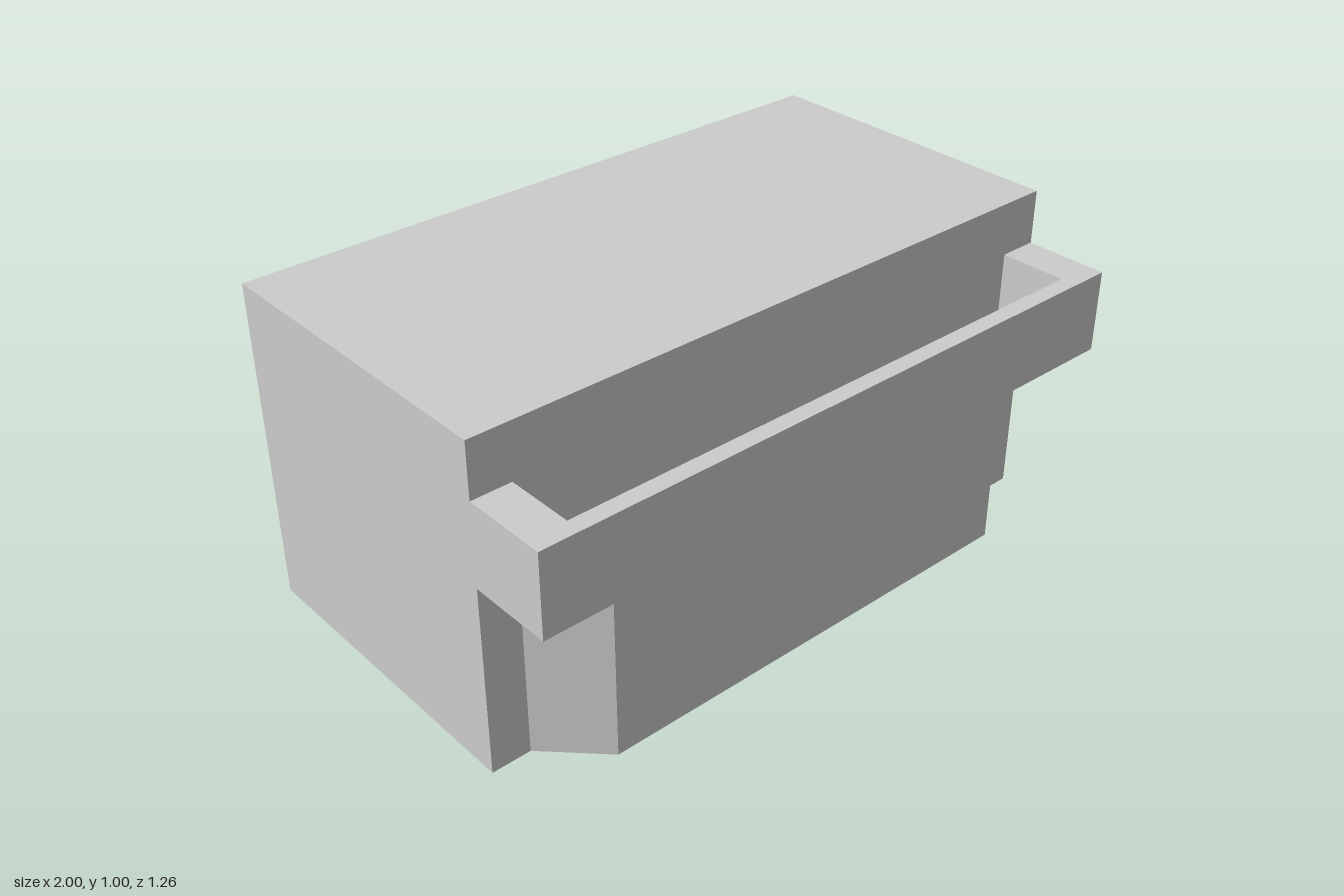
import * as THREE from 'three';

const BACK = -0.628, WALL = 0.372, FRONT = 0.628;

export function createModel() {
  const model = new THREE.Group();
  model.name = 'buildingWithBalcony';
  const material = new THREE.MeshStandardMaterial({ color: 0xcccccc, flatShading: true });

  // Raises a plan outline of [x, z] points from height y0 to y1
  function addPlan(name, points, y0, y1) {
    const shape = new THREE.Shape(points.map(([x, z]) => new THREE.Vector2(x, -z)));
    const geometry = new THREE.ExtrudeGeometry(shape, { depth: y1 - y0, bevelEnabled: false });
    geometry.rotateX(-Math.PI / 2).translate(0, y0, 0);
    const mesh = new THREE.Mesh(geometry, material);
    mesh.name = name;
    model.add(mesh);
  }

  // Main block
  addPlan('mainBlock', [[-1, BACK], [1, BACK], [1, WALL], [-1, WALL]], 0, 1);

  // Bay with slanted sides below the balcony
  addPlan('bay', [[-0.88, WALL], [0.88, WALL], [0.72, 0.532], [-0.72, 0.532]], 0, 0.585);

  // Balcony floor and U-shaped parapet, open towards the wall
  addPlan('balconyFloor', [[-1, WALL], [1, WALL], [1, FRONT], [-1, FRONT]], 0.585, 0.635);
  addPlan('balconyParapet', [
    [-1, WALL], [-0.88, WALL], [-0.88, 0.577], [0.88, 0.577],
    [0.88, WALL], [1, WALL], [1, FRONT], [-1, FRONT],
  ], 0.635, 0.835);

  return model;
}
